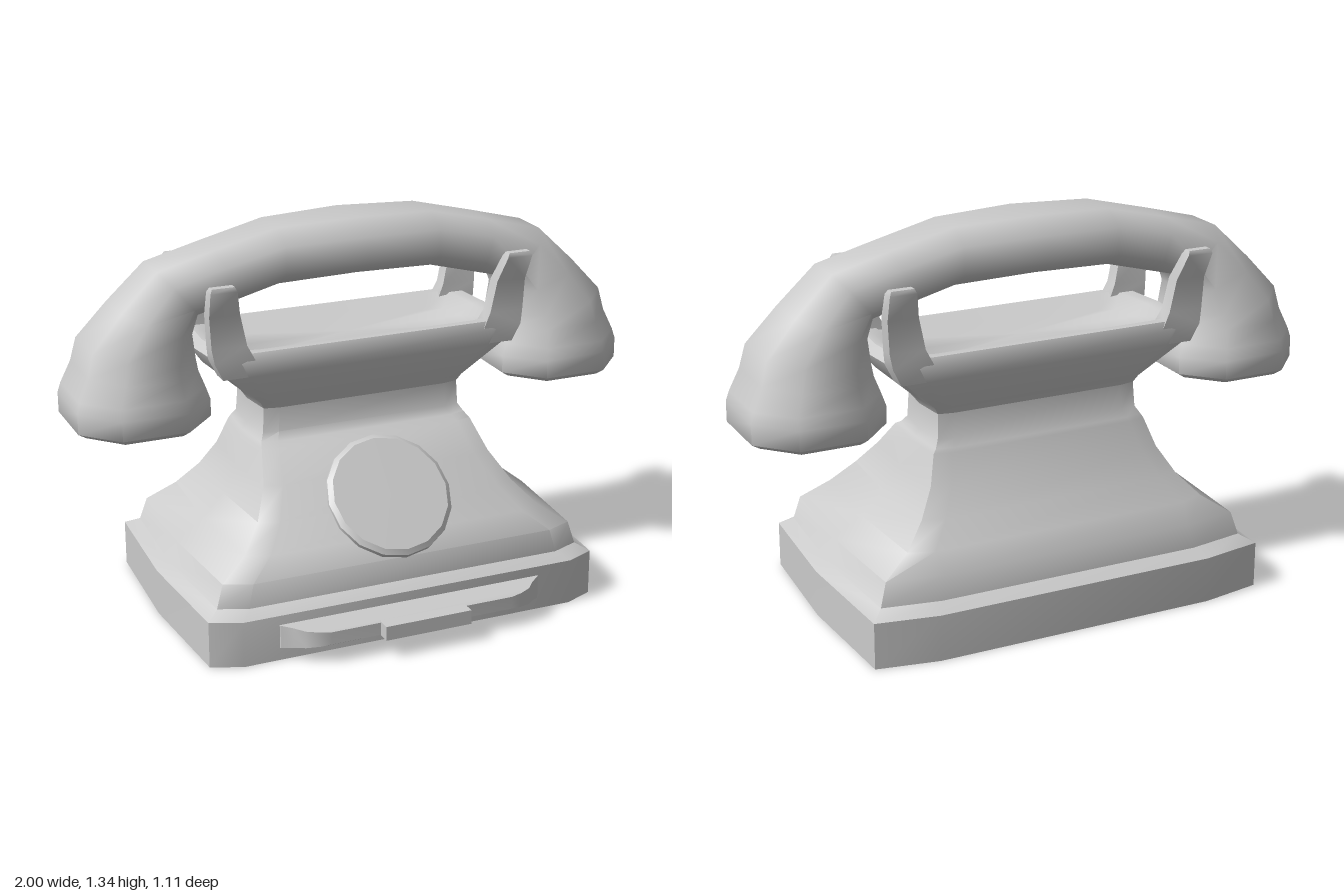
import * as THREE from 'three';
import { toCreasedNormals } from 'three/addons/utils/BufferGeometryUtils.js';

const MID_Z = -0.13; // centre plane of the cradle and handset

const material = new THREE.MeshStandardMaterial({ color: 0xcccccc });
const shellMaterial = new THREE.MeshStandardMaterial({ color: 0xcccccc, side: THREE.DoubleSide });

// Skin a list of equal-length rings of [x, y, z], optionally capped with fans.
function loft(rings, capStart, capEnd, crease) {
  const n = rings[0].length;
  const pos = rings.flat();
  let faces = [];
  for (let i = 0; i < rings.length - 1; i++) {
    for (let j = 0; j < n; j++) {
      const a = i * n + j, b = i * n + (j + 1) % n;
      faces.push([a, b, b + n], [a, b + n, a + n]);
    }
  }
  const cap = (start, flip, lift) => {
    const c = [0, 1, 2].map(k => {
      let s = 0;
      for (let j = 0; j < n; j++) s += pos[start + j][k] / n;
      return s + lift[k];
    });
    const centre = pos.push(c) - 1;
    for (let j = 0; j < n; j++) {
      const a = start + j, b = start + (j + 1) % n;
      faces.push(flip ? [b, a, centre] : [a, b, centre]);
    }
  };
  if (capStart) cap(0, true, capStart);
  if (capEnd) cap((rings.length - 1) * n, false, capEnd);

  // turn the faces outward if the enclosed volume is negative
  const v = pos.map(p => new THREE.Vector3(...p));
  const volume = faces.reduce((s, [a, b, c]) => s + v[a].dot(v[b].clone().cross(v[c])), 0);
  if (volume < 0) faces = faces.map(([a, b, c]) => [a, c, b]);

  const g = new THREE.BufferGeometry();
  g.setAttribute('position', new THREE.Float32BufferAttribute(pos.flat(), 3));
  g.setIndex(faces.flat());
  return toCreasedNormals(g, crease);
}

const FLAT = [0, 0, 0];

function addMesh(parent, name, geometry, mat = material) {
  const mesh = new THREE.Mesh(geometry, mat);
  mesh.name = name;
  parent.add(mesh);
  return mesh;
}

// Slightly bowed rectangle with cut corners, seen from above.
function bodyRing([y, hx, zf, zb]) {
  const d = zf - zb;
  const half = [
    [0.82 * hx, zf], [0.96 * hx, zf - 0.045 * d], [hx, (zf + zb) / 2],
    [0.97 * hx, zb + 0.04 * d], [(y < 0.3 ? 0.68 : 0.82) * hx, zb],
  ];
  const other = half.map(([x, z]) => [-x, z]).reverse();
  return [...half, ...other].map(([x, z]) => [x, y, z]);
}

// Box-shaped ring across the y axis
const rectRing = (y, x0, x1, z0, z1) =>
  [[x0, y, z0], [x1, y, z0], [x1, y, z1], [x0, y, z1]];

export function createModel() {
  const model = new THREE.Group();
  model.name = 'telephone';

  // Hollow body: plinth, flared housing, neck: [y, half width, front z, back z]
  const housing = [
    [0, 0.735, 0.42, -0.555], [0.16, 0.735, 0.42, -0.555], [0.185, 0.69, 0.38, -0.505],
    [0.265, 0.665, 0.37, -0.49], [0.33, 0.565, 0.315, -0.44], [0.41, 0.49, 0.245, -0.385],
    [0.5, 0.435, 0.16, -0.335], [0.595, 0.405, 0.065, -0.29], [0.61, 0.395, 0.035, -0.285],
    [0.635, 0.38, 0.012, -0.267], [0.72, 0.375, 0.01, -0.26],
  ];
  addMesh(model, 'housing', loft(housing.map(bodyRing), null, null, 0.8), shellMaterial);

  // Cradle with a shallow trough in its top
  const cradle = [
    [0.72, 0.375, 0.01, -0.26], [0.745, 0.39, 0.022, -0.272], [0.87, 0.53, 0.085, -0.345],
    [0.92, 0.555, 0.09, -0.35], [0.95, 0.53, 0.08, -0.34],
    [0.95, 0.48, 0.05, -0.31], [0.91, 0.43, -0.02, -0.24],
  ];
  addMesh(model, 'cradle', loft(cradle.map(bodyRing), null, FLAT, 0.8), shellMaterial);

  // Four prongs, mirrored left-right and front-back
  const prong = [
    [0.87, 0.42, 0.53, 0.02, 0.083], [0.93, 0.42, 0.56, 0.02, 0.088],
    [0.98, 0.445, 0.568, 0.03, 0.083], [1.09, 0.468, 0.574, 0.035, 0.085],
    [1.18, 0.488, 0.58, 0.08, 0.122], [1.195, 0.495, 0.573, 0.09, 0.116],
  ];
  for (const sx of [1, -1]) {
    for (const sz of [1, -1]) {
      const rings = prong.map(p => rectRing(...p).map(([x, y, z]) =>
        [sx * x, y, MID_Z + sz * (z - MID_Z)]));
      addMesh(model, `${sz > 0 ? 'front' : 'back'}${sx > 0 ? 'Left' : 'Right'}Prong`,
        loft(rings, FLAT, FLAT, 0.8));
    }
  }

  // Dial: a thin bevelled disc lying on the sloping front
  const dial = addMesh(model, 'dial', toCreasedNormals(
    new THREE.LatheGeometry([[0.225, -0.06], [0.222, 0], [0.205, 0.012], [0, 0.012]]
      .map(([r, y]) => new THREE.Vector2(r, y)), 16), 0.6));
  dial.position.set(0, 0.438, 0.234);
  dial.rotation.x = 0.82;

  // Drawer along the front of the plinth: [z, half width, bottom, top]
  const drawer = [
    [0.4, 0.48, 0.045, 0.127], [0.425, 0.475, 0.045, 0.127], [0.45, 0.44, 0.05, 0.122],
    [0.485, 0.41, 0.06, 0.12], [0.505, 0.37, 0.066, 0.118], [0.512, 0.33, 0.07, 0.114],
  ];
  addMesh(model, 'drawer', loft(drawer.map(([z, hx, y0, y1]) =>
    [[-hx, y0, z], [hx, y0, z], [hx, y1, z], [-hx, y1, z]]), FLAT, FLAT, 0.6));
  const pull = addMesh(model, 'drawerPull', new THREE.BoxGeometry(0.31, 0.05, 0.06));
  pull.position.set(0, 0.093, 0.526);

  // Handset: [outer x, outer y, inner x, inner y, half depth] from centre to earpiece
  const half = [
    [0, 1.335, 0, 1.145, 0.178], [0.28, 1.325, 0.28, 1.135, 0.152],
    [0.5, 1.272, 0.45, 1.09, 0.145], [0.7, 1.22, 0.565, 1.06, 0.147],
    [0.83, 1.095, 0.59, 1.0, 0.17], [0.935, 0.98, 0.585, 0.92, 0.198],
    [0.955, 0.9, 0.58, 0.88, 0.214], [0.99, 0.825, 0.56, 0.825, 0.23],
    [1, 0.79, 0.545, 0.78, 0.241], [1, 0.72, 0.545, 0.72, 0.241],
    [0.97, 0.7, 0.575, 0.7, 0.215],
  ];
  const mirrored = half.slice(1).reverse().map(([ox, oy, ix, iy, hz]) => [-ox, oy, -ix, iy, hz]);
  const octagon = [[1, 0.5], [0.5, 1], [-0.5, 1], [-1, 0.5], [-1, -0.5], [-0.5, -1], [0.5, -1], [1, -0.5]];
  const handset = [...mirrored, ...half].map(([ox, oy, ix, iy, hz]) => octagon.map(([a, b]) => [
    (ox + ix) / 2 + a * (ox - ix) / 2,
    (oy + iy) / 2 + a * (oy - iy) / 2,
    MID_Z + b * hz,
  ]));
  addMesh(model, 'handset', loft(handset, [0, -0.013, 0], [0, -0.013, 0], 1.1));

  return model;
}
